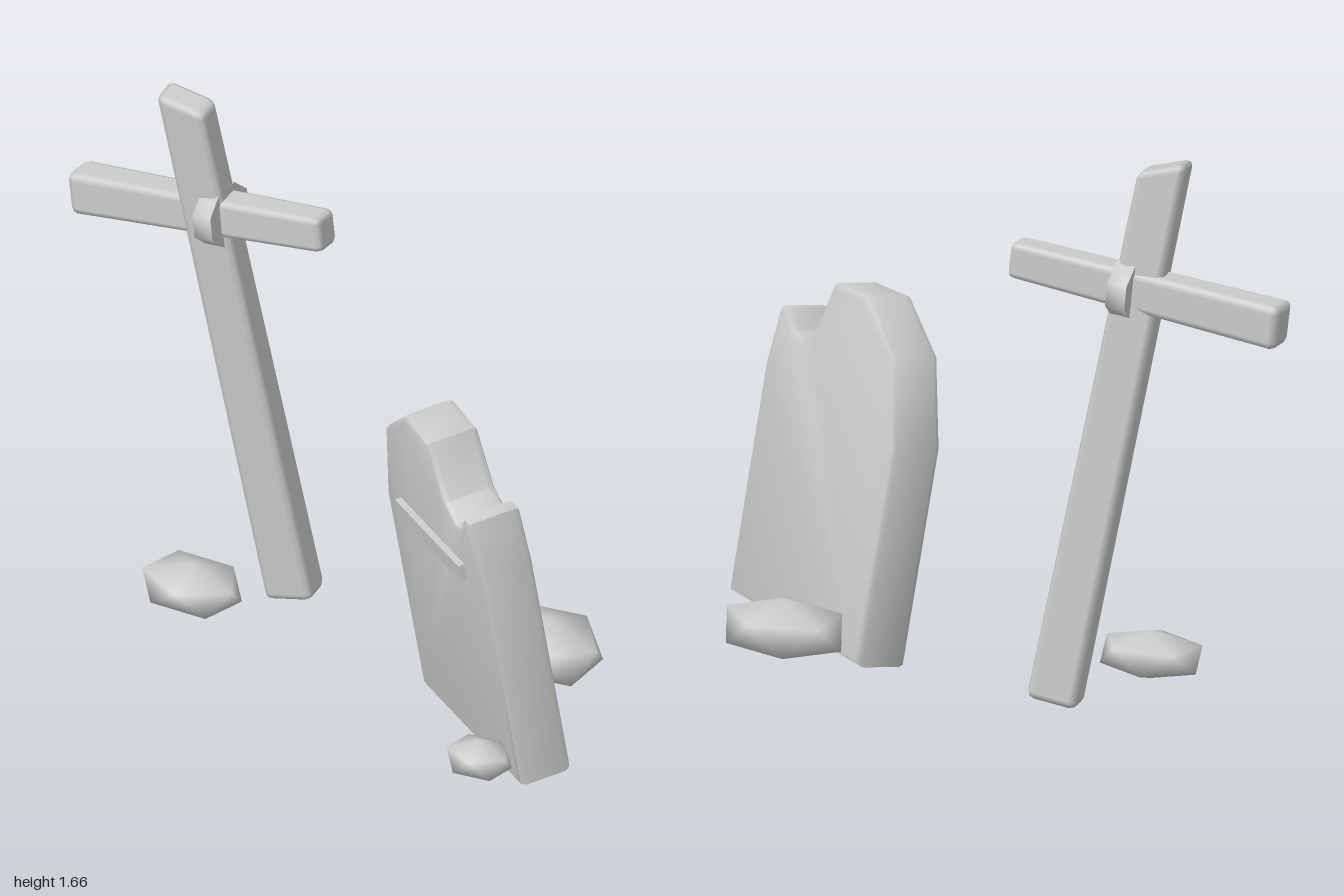
import * as THREE from 'three';
import { mergeVertices, toCreasedNormals } from 'three/addons/utils/BufferGeometryUtils.js';
import { RoundedBoxGeometry } from 'three/addons/geometries/RoundedBoxGeometry.js';

const material = new THREE.MeshStandardMaterial({ color: 0xcccccc });
const V = (x, y, z) => new THREE.Vector3(x, y, z);

function add(parent, name, geometry, position = [0, 0, 0]) {
  const mesh = new THREE.Mesh(geometry, material);
  mesh.name = name;
  mesh.position.set(...position);
  parent.add(mesh);
  return mesh;
}

// Orthonormal orientation from a main x axis and an approximate y axis
function basis(x, y) {
  const ax = x.clone().normalize();
  const az = ax.clone().cross(y).normalize();
  const ay = az.clone().cross(ax);
  return new THREE.Matrix4().makeBasis(ax, ay, az);
}

// Chamfered timber along x; rule(v, t) reshapes it, t runs 0..1 along the length
function timber(length, height, depth, rule) {
  const g = new RoundedBoxGeometry(length, height, depth, 1, 0.022);
  const p = g.attributes.position;
  const v = V(0, 0, 0);
  for (let i = 0; i < p.count; i++) {
    v.fromBufferAttribute(p, i);
    rule(v, v.x / length + 0.5);
    p.setXYZ(i, v.x, v.y, v.z);
  }
  return g;
}

// Smooth-shaded low stone with a point on top
function stone(sx, sy, sz) {
  let g = new THREE.IcosahedronGeometry(1, 0);
  g.deleteAttribute('uv');
  g.deleteAttribute('normal');
  g = mergeVertices(g, 1e-4);
  g.rotateZ(-Math.atan(2 / (1 + Math.sqrt(5))));
  g.scale(sx, sy, sz);
  g.computeVertexNormals();
  return g;
}

export function createModel() {
  const model = new THREE.Group();
  model.name = 'graveMarkers';

  // Wooden cross: leaning post with a slanted top
  const cross = new THREE.Group();
  cross.name = 'woodenCross';
  model.add(cross);
  const foot = V(-0.35, 0.03, -0.075), head = V(-0.605, 1.645, 0.12);
  const axis = head.clone().sub(foot);
  const post = add(cross, 'post', timber(axis.length(), 0.145, 0.108, (v, t) => {
    const s = 1.04 - 0.08 * t;
    v.y *= s;
    v.z *= s;
    if (t > 0.5) v.x += 0.45 * v.y;
  }), foot.clone().lerp(head, 0.5).toArray());
  // local y points to the right-hand side of the viewer negated, so the left edge is higher
  post.quaternion.setFromRotationMatrix(basis(axis, V(-0.93, 0, 0.37)));

  // Crossbar, thicker at its low end
  const bar = add(cross, 'crossbar', timber(0.855, 0.122, 0.105, (v, t) => {
    const s = 1.1 - 0.2 * t;
    v.y *= s;
    v.z *= s;
  }), [-0.575, 1.27, 0.078]);
  bar.quaternion.setFromRotationMatrix(basis(V(0.82, 0.105, -0.2), V(0, 1, 0)));

  // Binding around the joint
  const band = new THREE.CylinderGeometry(1, 1, 0.06, 8, 1, false, Math.PI / 8);
  band.rotateZ(Math.PI / 2);
  band.scale(1, 0.092, 0.112);
  const binding = add(cross, 'binding', toCreasedNormals(band, 0.9), [-0.515, 1.275, 0.065]);
  binding.rotation.set(0, 0.26, 0.1, 'YXZ');

  // Broken headstone leaning forward, outlined from its lower front corner
  const headstone = new THREE.Group();
  headstone.name = 'headstone';
  headstone.position.set(0.25, 0, 0);
  headstone.quaternion.setFromRotationMatrix(basis(V(0.93, 0.055, 0.37), V(-0.12, 0.985, 0.115)));
  model.add(headstone);
  const outline = [
    [0, 0], [0.73, 0], [0.735, 0.69], [0.705, 0.87], [0.66, 0.875], [0.62, 0.82],
    [0.575, 0.81], [0.51, 0.85], [0.45, 1.02], [0.28, 1.035], [0.09, 0.91], [0, 0.66],
  ].map(([x, y]) => new THREE.Vector2(x, y));
  const depth = 0.165, bevel = 0.02;
  const slab = new THREE.ExtrudeGeometry(new THREE.Shape(outline), {
    depth: depth - 2 * bevel, bevelEnabled: true, bevelSegments: 2,
    bevelSize: bevel, bevelThickness: bevel, bevelOffset: -bevel,
  });
  slab.translate(0, 0, bevel - depth);
  add(headstone, 'slab', toCreasedNormals(slab, 0.75));
  add(headstone, 'plaque', new THREE.BoxGeometry(0.475, 0.05, 0.03), [0.365, 0.665, 0.005]);

  // Loose stones at the feet
  const stones = [
    ['crossStone', [0.18, 0.0725, 0.14], [-0.475, 0.122, 0.22], 0],
    ['backStone', [0.17, 0.092, 0.217], [0.497, 0.132, -0.252], 1.45],
    ['frontStone', [0.112, 0.06, 0.095], [0.81, 0.11, 0.32], 0.1],
  ];
  for (const [name, size, position, turn] of stones) {
    add(model, name, stone(...size), position).rotation.y = turn;
  }
  return model;
}
